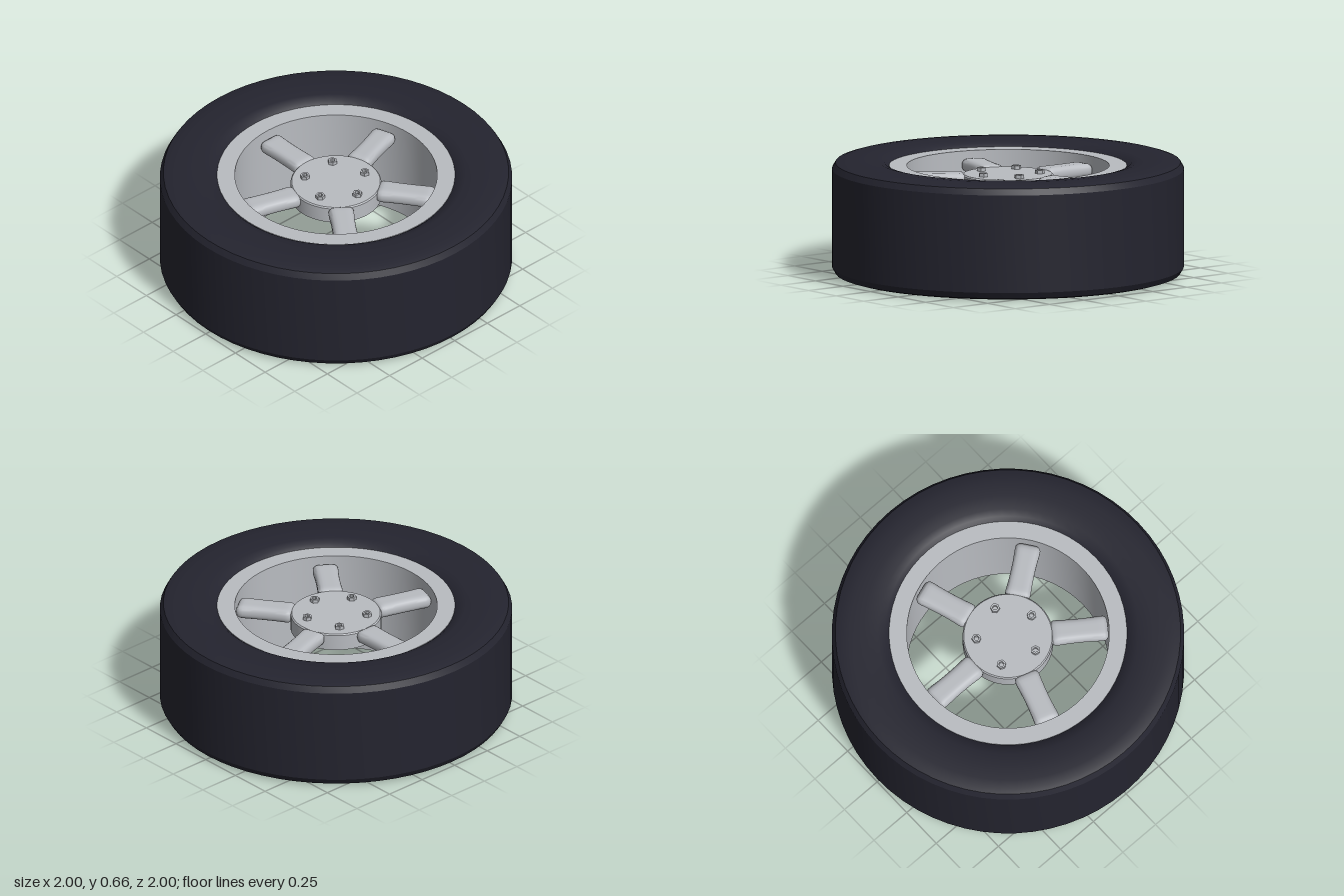
import * as THREE from 'three';
import { toCreasedNormals } from 'three/addons/utils/BufferGeometryUtils.js';
import { RoundedBoxGeometry } from 'three/addons/geometries/RoundedBoxGeometry.js';

const SEGMENTS = 64;
const HEIGHT = 0.66;

// Revolved solid from [radius, y] points, running up the outside and down the inside
function turned(points, crease) {
  const profile = points.map(([r, y]) => new THREE.Vector2(r, y));
  return toCreasedNormals(new THREE.LatheGeometry(profile, SEGMENTS), crease);
}

export function createModel() {
  const rubber = new THREE.MeshStandardMaterial({ color: 0x24242f });
  rubber.name = 'dark rubber';
  const metal = new THREE.MeshStandardMaterial({ color: 0xb9bcc1 });
  metal.name = 'silver metal';

  const model = new THREE.Group();
  model.name = 'wheel';
  const add = (name, geometry, material, parent = model) => {
    const mesh = new THREE.Mesh(geometry, material);
    mesh.name = name;
    parent.add(mesh);
    return mesh;
  };

  // Tyre: upper half of the section, mirrored for the lower half
  const upper = [[1, 0.61], [0.98, 0.645], [0.95, 0.654], [0.9, 0.659],
    [0.82, 0.66], [0.74, 0.655], [0.7, 0.645], [0.672, 0.622]];
  const lower = upper.map(([r, y]) => [r, HEIGHT - y]).reverse();
  add('tyre', turned([...lower, ...upper], 0.5), rubber);

  // Rim barrel: a thick open tube
  add('rim', turned([[0.675, 0.034], [0.675, 0.628], [0.575, 0.628],
    [0.575, 0.034], [0.675, 0.034]], 0.5), metal);

  // Hub: solid disc with a small edge bevel
  add('hub', turned([[0, 0.48], [0.258, 0.48], [0.258, 0.573], [0.251, 0.58], [0, 0.58]], 0.5), metal);

  // Spoke: soft block, slightly narrower at mid length
  const length = 0.33;
  const spoke = new RoundedBoxGeometry(length, 0.08, 0.15, 4, 0.035);
  spoke.scale(1, 1, 1);
  const cut = new THREE.BoxGeometry(length, 0.08, 0.15, 16, 6, 8);
  const pos = cut.attributes.position;
  const core = new THREE.Vector3(length / 2 - 0.035, 0.005, 0.04);
  const p = new THREE.Vector3();
  const inner = new THREE.Vector3();
  for (let i = 0; i < pos.count; i++) {
    p.fromBufferAttribute(pos, i);
    inner.copy(p).clamp(core.clone().negate(), core);
    p.sub(inner).normalize().multiplyScalar(0.035).add(inner);
    const t = p.x / (length / 2);
    p.z *= 0.91 + 0.11 * t * t;
    pos.setXYZ(i, p.x, p.y, p.z);
  }
  const spokeGeometry = toCreasedNormals(cut, 0.9);

  // Bolt: hexagonal head with a hexagonal socket
  const hexagon = (shape, radius) => {
    for (let i = 0; i < 6; i++) {
      const a = i * Math.PI / 3;
      shape[i ? 'lineTo' : 'moveTo'](radius * Math.cos(a), radius * Math.sin(a));
    }
    shape.closePath();
    return shape;
  };
  const head = hexagon(new THREE.Shape(), 0.027);
  head.holes.push(hexagon(new THREE.Path(), 0.015));
  const boltGeometry = new THREE.ExtrudeGeometry(head, { depth: 0.025, bevelEnabled: false });
  boltGeometry.rotateX(-Math.PI / 2);

  // Five spokes, with a bolt opposite each one
  for (let k = 0; k < 5; k++) {
    const arm = new THREE.Group();
    arm.name = 'arm';
    arm.rotation.y = k * Math.PI * 2 / 5;
    add('spoke', spokeGeometry, metal, arm).position.set(-0.405, 0.55, 0);
    add('bolt', boltGeometry, metal, arm).position.set(0.18, 0.575, 0);
    model.add(arm);
  }
  return model;
}
